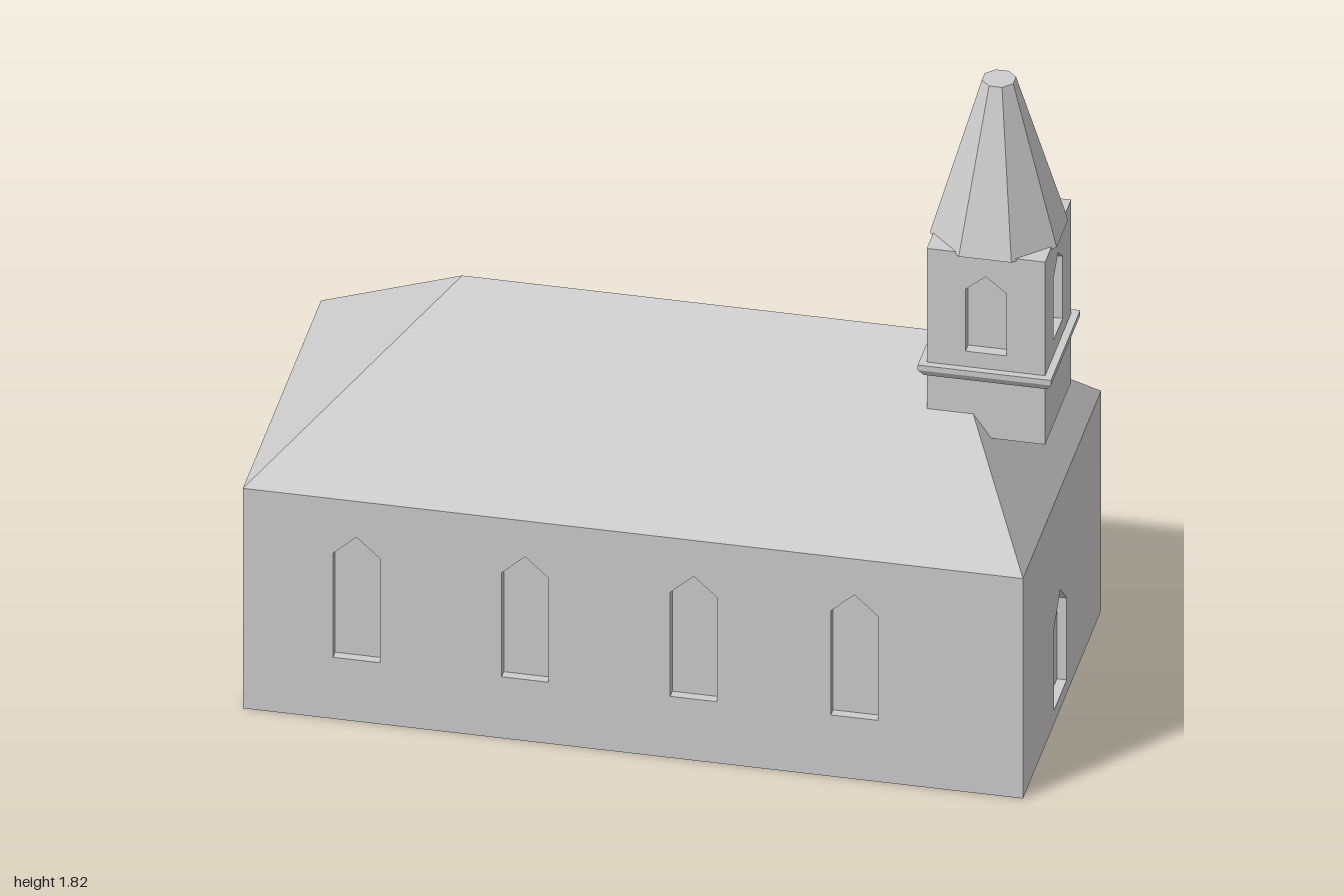
import * as THREE from 'three';

const stone = new THREE.MeshStandardMaterial({ color: 0xcccccc });
stone.name = 'pale grey stone';

function mesh(name, geometry) {
  const m = new THREE.Mesh(geometry, stone);
  m.name = name;
  return m;
}

// Flat facets for prisms and pyramids
function faceted(geometry) {
  const g = geometry.index ? geometry.toNonIndexed() : geometry;
  g.computeVertexNormals();
  return g;
}

// Pointed opening centred on x, from sill y0 through shoulder y1 to apex y2
function opening(x, w, y0, y1, y2) {
  return new THREE.Path([
    [x - w / 2, y0], [x + w / 2, y0], [x + w / 2, y1], [x, y2], [x - w / 2, y1],
  ].map(([px, py]) => new THREE.Vector2(px, py)));
}

// Wall slab with openings; its outer face lies at local z = 0
function wall(name, w, h, depth, openings) {
  const s = new THREE.Shape();
  s.moveTo(-w / 2, 0).lineTo(w / 2, 0).lineTo(w / 2, h).lineTo(-w / 2, h).closePath();
  s.holes.push(...openings);
  const g = new THREE.ExtrudeGeometry(s, { depth, bevelEnabled: false });
  g.translate(0, 0, -depth);
  return mesh(name, g);
}

// Four walls around a solid core, which forms the back of each recess.
// Sides are listed as front, left (+x), back, right (-x).
function walledBlock(name, w, h, d, depths, openings) {
  const block = new THREE.Group();
  block.name = name;
  const [f, l, b, r] = depths;
  const core = new THREE.BoxGeometry(w - l - r, h, d - f - b);
  core.translate((r - l) / 2, h / 2, (b - f) / 2);
  block.add(mesh('core', core));
  ['frontWall', 'leftWall', 'backWall', 'rightWall'].forEach((wallName, i) => {
    const isEnd = i % 2 === 1;
    const p = wall(wallName, isEnd ? d - f - b : w, h, depths[i], openings[i]);
    const angle = i * Math.PI / 2;
    p.rotation.y = angle;
    p.position.set(Math.sin(angle) * w / 2, 0, Math.cos(angle) * d / 2);
    // End walls fit between the long walls
    if (isEnd) p.position.z = (b - f) / 2;
    block.add(p);
  });
  return block;
}

// Hipped roof with a longer slope at the right end
function hippedRoof(x0, x1, z, eave, r0, r1, ridge) {
  const g = new THREE.BufferGeometry();
  g.setAttribute('position', new THREE.Float32BufferAttribute([
    x0, eave, z, x1, eave, z, x1, eave, -z, x0, eave, -z, r0, ridge, 0, r1, ridge, 0,
  ], 3));
  g.setIndex([0, 1, 5, 0, 5, 4, 1, 2, 5, 2, 3, 4, 2, 4, 5, 3, 0, 4, 0, 3, 2, 0, 2, 1]);
  return faceted(g);
}

// Square or octagonal frustum with flats facing the axes; radii are to the flats
function frustum(top, bottom, y0, y1, sides) {
  const k = 1 / Math.cos(Math.PI / sides);
  const g = new THREE.CylinderGeometry(top * k, bottom * k, y1 - y0, sides);
  g.rotateY(Math.PI / sides);
  g.translate(0, (y0 + y1) / 2, 0);
  return faceted(g);
}

export function createModel() {
  const model = new THREE.Group();
  model.name = 'church';

  // Nave: four windows along each side, a door at one end, two windows at the other
  const cx = -0.005;
  const win = (x, w = 0.12) => opening(x, w, 0.18, 0.485, 0.54);
  const bays = [-0.71, -0.28, 0.15, 0.56];
  const nave = walledBlock('nave', 1.99, 0.645, 0.908, [0.025, 0.025, 0.045, 0.035], [
    bays.map((x) => win(x - cx)),
    [opening(-0.01, 0.148, 0.04, 0.28, 0.35)],
    bays.map((x) => win(cx - x)),
    [win(-0.18, 0.11), win(0.17, 0.11)],
  ]);
  nave.position.x = cx;
  model.add(nave);
  model.add(mesh('roof', hippedRoof(-1, 0.99, 0.454, 0.645, -0.54, 0.7, 1.055)));

  // Steeple
  const steeple = new THREE.Group();
  steeple.name = 'steeple';
  steeple.position.x = 0.829;
  steeple.add(mesh('towerBase', frustum(0.151, 0.151, 0.853, 1.02, 4)));
  steeple.add(mesh('ledgeUnderside', frustum(0.17, 0.157, 1.02, 1.04, 4)));
  steeple.add(mesh('ledge', frustum(0.17, 0.17, 1.04, 1.055, 4)));
  const belfryWindow = () => [opening(0, 0.104, 0.045, 0.227, 0.27)];
  const belfry = walledBlock('belfry', 0.302, 0.333, 0.302, [0.03, 0.03, 0.03, 0.03],
    [0, 1, 2, 3].map(belfryWindow));
  belfry.position.y = 1.055;
  steeple.add(belfry);
  steeple.add(mesh('spire', frustum(0.04, 0.162, 1.382, 1.815, 8)));
  model.add(steeple);

  return model;
}
